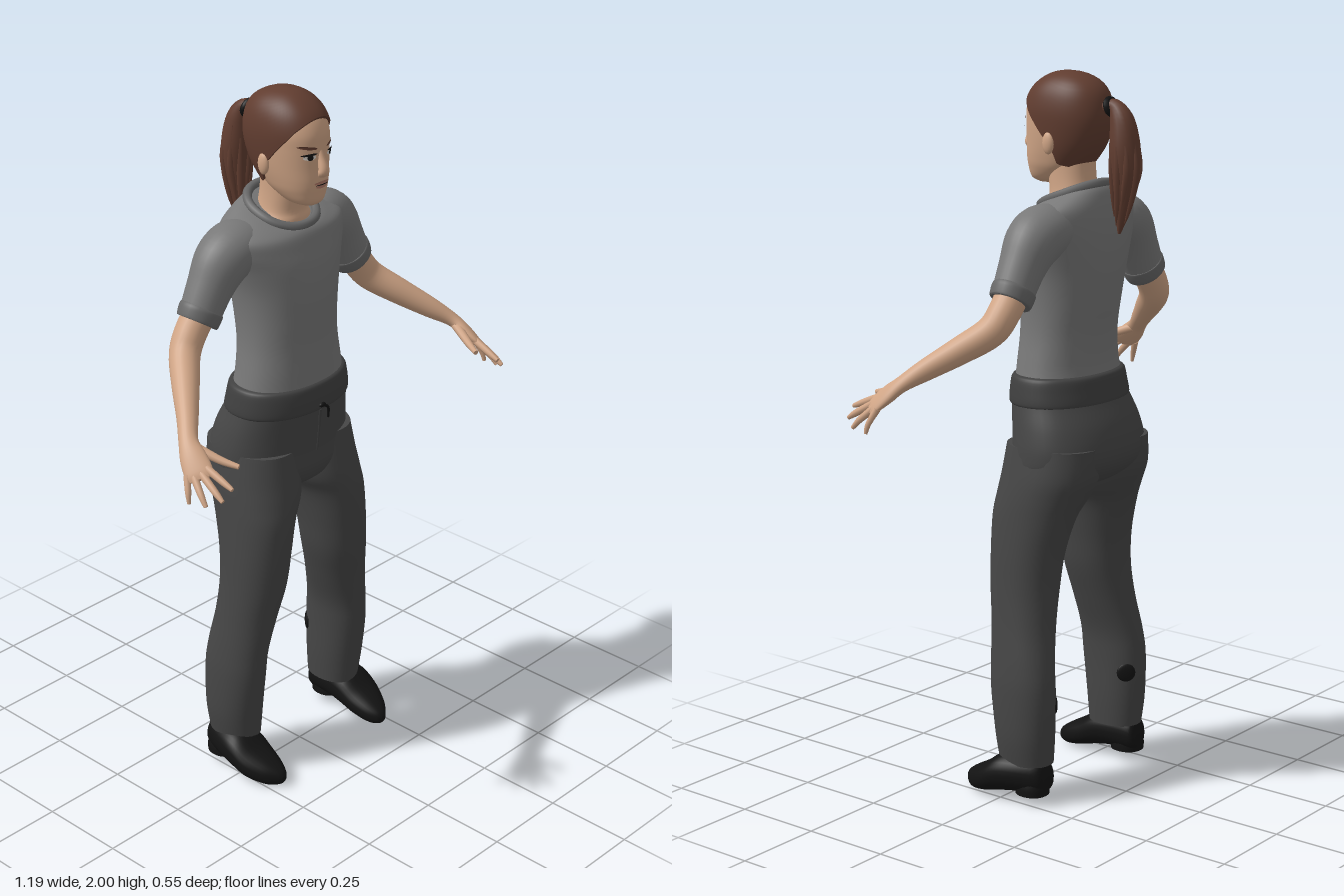
import * as THREE from 'three';

const paint = (name, color) => {
  const m = new THREE.MeshStandardMaterial({ color });
  m.name = name;
  return m;
};
const SKIN = paint('skin', 0xd0a586), HAIR = paint('hair', 0x613d30), SHIRT = paint('shirt grey', 0x787878);
const TRIM = paint('trim grey', 0x686868), PANTS = paint('trouser grey', 0x464646), BAND = paint('waistband grey', 0x404040);
const BLACK = paint('black', 0x131313), WHITE = paint('eye white', 0xd8d0c8), LIPS = paint('lips', 0xb07a68);

const V = (x, y, z) => new THREE.Vector3(x, y, z);
const lerp = THREE.MathUtils.lerp;

// Catmull-Rom smoothing of a table of rows
function smooth(rows, k = 5) {
  const out = [];
  for (let i = 0; i < rows.length - 1; i++) {
    const [p, a, b, n] = [rows[Math.max(i - 1, 0)], rows[i], rows[i + 1], rows[Math.min(i + 2, rows.length - 1)]];
    for (let s = 0; s < k; s++) {
      const t = s / k;
      out.push(a.map((_, c) => 0.5 * (2 * a[c] + (b[c] - p[c]) * t + (2 * p[c] - 5 * a[c] + 4 * b[c] - n[c]) * t * t
        + (3 * a[c] - p[c] - 3 * b[c] + n[c]) * t * t * t)));
    }
  }
  out.push(rows[rows.length - 1]);
  return out;
}

// Closed surface through rings of points, with flat caps; faces turned outward
function skinRings(rings) {
  const n = rings[0].length, pos = [], idx = [];
  rings.forEach(r => r.forEach(p => pos.push(p.x, p.y, p.z)));
  for (let i = 0; i < rings.length - 1; i++) for (let j = 0; j < n; j++) {
    const a = i * n + j, b = i * n + (j + 1) % n;
    idx.push(a, b, a + n, b, b + n, a + n);
  }
  [rings[0], rings[rings.length - 1]].forEach((r, end) => {
    const base = pos.length / 3, c = V(0, 0, 0);
    r.forEach(p => { pos.push(p.x, p.y, p.z); c.addScaledVector(p, 1 / n); });
    pos.push(c.x, c.y, c.z);
    for (let j = 0; j < n; j++) {
      const a = base + j, b = base + (j + 1) % n;
      end ? idx.push(a, b, base + n) : idx.push(b, a, base + n);
    }
  });
  const at = i => V(pos[3 * i], pos[3 * i + 1], pos[3 * i + 2]);
  let volume = 0;
  for (let i = 0; i < idx.length; i += 3) volume += at(idx[i]).dot(at(idx[i + 1]).cross(at(idx[i + 2])));
  if (volume < 0) idx.reverse();
  const g = new THREE.BufferGeometry();
  g.setAttribute('position', new THREE.Float32BufferAttribute(pos, 3));
  g.setIndex(idx);
  g.computeVertexNormals();
  return g;
}

const POWER = 2.2;
const sup = c => Math.sign(c) * Math.abs(c) ** (2 / POWER);
const angles = n => Array.from({ length: n }, (_, j) => j / n * Math.PI * 2);
// Rounded section point from a row [t, x0, x1, b0, b1, tilt]
const section = (r, f) => [(r[1] + r[2]) / 2 + (r[2] - r[1]) / 2 * sup(Math.cos(f)),
  r[0] - (r[5] || 0) * Math.sin(f), (r[3] + r[4]) / 2 + (r[3] - r[4]) / 2 * sup(Math.sin(f))];
const upright = (rows, s = 1, n = 36) => skinRings(smooth(rows).map(r => angles(n).map(f => {
  const [a, t, b] = section(r, f);
  return V(s * a, t, b);
})));
const lengthwise = (rows, s) => skinRings(smooth(rows).map(r => angles(28).map(f => {
  const [a, t, b] = section(r, f);
  return V(s * a, b, t);
})));
const sym = rows => rows.map(([y, w, zf, zb, tilt = 0]) => [y, -w, w, zf, zb, tilt]);

// Swept limb through rows [x, y, z, r, r2]; r2 lies along ref
function limb(rows, s = 1, ref = V(0, 0, 1), n = 18, k = 5) {
  const rs = smooth(rows.map(r => r.length < 5 ? [...r, r[3]] : r), k);
  const p = rs.map(r => V(r[0], r[1], r[2]));
  return skinRings(rs.map((r, i) => {
    const t = p[Math.min(i + 1, p.length - 1)].clone().sub(p[Math.max(i - 1, 0)]).normalize();
    const u = t.clone().cross(ref).normalize(), v = t.clone().cross(u);
    return angles(n).map(f => {
      const q = p[i].clone().addScaledVector(u, r[3] * Math.cos(f)).addScaledVector(v, r[4] * Math.sin(f));
      q.x *= s;
      return q;
    });
  }));
}

// Head table: height, half width, front z, back z
const HEAD = smooth(sym([[1.697, .02, .05, -.01], [1.71, .046, .068, -.04], [1.74, .066, .075, -.09], [1.77, .076, .078, -.12],
  [1.81, .084, .077, -.148], [1.86, .089, .077, -.165], [1.9, .089, .075, -.166], [1.94, .08, .058, -.155],
  [1.968, .062, .03, -.13], [1.986, .034, -.005, -.09], [1.992, .002, -.04, -.045]]), 8);
function headRow(y) {
  let i = 0;
  while (i < HEAD.length - 2 && HEAD[i + 1][0] < y) i++;
  const t = THREE.MathUtils.clamp((y - HEAD[i][0]) / (HEAD[i + 1][0] - HEAD[i][0]), 0, 1);
  return HEAD[i].map((a, c) => lerp(a, HEAD[i + 1][c], t));
}
function faceZ(x, y) {
  const [, , w, zf, zb] = headRow(y);
  return (zf + zb) / 2 + (zf - zb) / 2 * Math.max(0, 1 - Math.abs(x / w) ** POWER) ** (1 / POWER);
}
// Thin oval that hugs the face
function faceOval(x, y, w, h, lift, tilt = 0) {
  const g = new THREE.CircleGeometry(1, 20).scale(w, h, 1).rotateZ(tilt).translate(x, y, 0);
  const p = g.attributes.position;
  for (let i = 0; i < p.count; i++) p.setZ(i, faceZ(p.getX(i), p.getY(i)) + lift);
  g.computeVertexNormals();
  return g;
}
const HAIRLINE = [[-1, 1.75], [-.4, 1.762], [0, 1.82], [.35, 1.865], [.7, 1.91], [1, 1.938]];
function hairline(s) {
  let i = 0;
  while (i < HAIRLINE.length - 2 && HAIRLINE[i + 1][0] < s) i++;
  const [a, b] = [HAIRLINE[i], HAIRLINE[i + 1]];
  return lerp(a[1], b[1], (s - a[0]) / (b[0] - a[0]));
}

export function createModel() {
  const model = new THREE.Group();
  const add = (name, geo, mat) => {
    const m = new THREE.Mesh(geo, mat);
    m.name = name;
    model.add(m);
    return m;
  };
  const ball = (name, mat, x, y, z, a, b, c) => add(name, new THREE.SphereGeometry(1, 18, 12).scale(a, b, c).translate(x, y, z), mat);

  // Head, neck and hair cap
  add('head', skinRings(HEAD.map(r => angles(48).map(f => V(...section(r, f))))), SKIN);
  add('neck', upright(sym([[1.58, .1, 0, -.14], [1.64, .082, .006, -.14], [1.67, .066, .0, -.13], [1.72, .06, .006, -.122], [1.79, .06, .01, -.12]])), SKIN);
  const mid = V(0, 1.87, -.045);
  add('hair', skinRings(Array.from({ length: 19 }, (_, i) => angles(64).map(f => {
    const y = lerp(hairline(Math.sin(f)), 1.992, Math.sin(i / 18 * Math.PI / 2));
    return V(...section(headRow(y), f)).sub(mid).multiplyScalar(1.062).add(mid);
  }))), HAIR);

  // Face
  add('nose', limb([[0, 1.86, .066, .009], [0, 1.835, .075, .011], [0, 1.81, .085, .015, .013], [0, 1.797, .085, .017, .013],
    [0, 1.788, .076, .012, .008]]), SKIN);
  add('upperLip', faceOval(0, 1.768, .026, .005, .004), LIPS);
  add('lowerLip', faceOval(0, 1.759, .021, .006, .004), LIPS);
  add('mouthLine', faceOval(0, 1.764, .024, .0014, .006), BLACK);

  // Ponytail with loose strands and a tie
  add('ponytail', limb([[0, 1.9, -.15, .02], [0, 1.912, -.195, .02], [0, 1.875, -.222, .033], [0, 1.8, -.232, .041, .043],
    [0, 1.72, -.234, .037], [0, 1.64, -.226, .022], [0, 1.575, -.214, .004]], 1, V(1, 0, 0)), HAIR);
  for (let i = 0; i < 9; i++) {
    const a = i / 9 * Math.PI * 2, c = Math.cos(a), s = Math.sin(a), end = 1.6 + .05 * (i * 4 % 9) / 9;
    add('strand', limb([[c * .03, 1.86, -.226 + s * .028, .006], [c * .038, 1.76, -.234 + s * .037, .009],
      [c * .03, end + .06, -.228 + s * .027, .008], [c * .022, end, -.22 + s * .016, .001]], 1, V(1, 0, 0), 6), HAIR);
  }
  add('hairTie', new THREE.TorusGeometry(.02, .009, 8, 20).rotateX(.3).translate(0, 1.91, -.186), BLACK);

  // Shirt body and collar
  const neckline = [1.67, -.092, .092, .02, -.152, .036];
  add('shirt', upright([...sym([[1.165, .176, .072, -.163], [1.22, .165, .069, -.156], [1.3, .152, .066, -.16], [1.38, .15, .07, -.175],
    [1.46, .158, .072, -.188], [1.53, .177, .066, -.193], [1.585, .198, .053, -.19, .008], [1.628, .198, .042, -.181, .018],
    [1.656, .14, .032, -.168, .03]]), neckline], 1, 48), SHIRT);
  const ring = new THREE.CatmullRomCurve3(angles(24).map(f => V(...section(neckline, f))), true);
  add('collar', new THREE.TubeGeometry(ring, 60, .013, 8, true), TRIM);

  // Trouser seat, waistband, fly and drawstring
  add('trouserSeat', upright(sym([[.865, .09, .02, -.1], [.89, .15, .05, -.165], [.93, .21, .066, -.215], [.98, .217, .066, -.23],
    [1.05, .207, .07, -.214], [1.12, .19, .078, -.18], [1.16, .184, .078, -.17]]), 1, 48), PANTS);
  add('waistband', upright(sym([[1.108, .188, .076, -.178], [1.116, .195, .084, -.184], [1.15, .191, .084, -.178],
    [1.182, .184, .079, -.171], [1.19, .172, .068, -.16]]), 1, 48), BAND);
  add('fly', limb([[0, 1.11, .077, .005], [.003, 1.05, .069, .004], [0, .98, .064, .004]], 1, V(0, 0, 1), 8), BAND);
  ball('knot', BLACK, 0, 1.125, .085, .012, .007, .007);
  add('drawstring', limb([[0, 1.125, .088, .004], [.022, 1.11, .086, .004], [.03, 1.075, .079, .003]], 1, V(0, 0, 1), 8), BLACK);

  // Paired parts
  for (const s of [1, -1]) {
    const side = s > 0 ? 'left' : 'right';
    ball(side + 'Ear', SKIN, s * .09, 1.812, -.045, .011, .03, .018).rotation.x = 0;
    add(side + 'Eye', faceOval(s * .037, 1.843, .016, .0075, .003), WHITE);
    add(side + 'Iris', faceOval(s * .037, 1.843, .0075, .0075, .005), BLACK);
    add(side + 'Lashes', faceOval(s * .039, 1.851, .02, .0032, .006, -s * .1), BLACK);
    add(side + 'Brow', faceOval(s * .041, 1.869, .024, .0042, .004, s * .16), HAIR);

    // Sleeve, cuff, arm and hand
    add(side + 'Sleeve', limb([[.1, 1.595, -.085, .058, .075], [.16, 1.588, -.085, .074, .08], [.21, 1.56, -.085, .077, .074],
      [.255, 1.5, -.085, .065, .061], [.3, 1.423, -.085, .057, .054]], s, V(0, 0, 1), 28), SHIRT);
    add(side + 'Cuff', limb([[.284, 1.452, -.085, .058, .055], [.287, 1.447, -.085, .063, .059], [.3, 1.423, -.085, .061, .057],
      [.303, 1.418, -.085, .056, .053]], s, V(0, 0, 1), 28), TRIM);
    const across = V(.055, -.025, -.055).normalize();
    add(side + 'Arm', limb([[.28, 1.455, -.085, .045], [.328, 1.395, -.085, .044], [.365, 1.348, -.07, .042], [.42, 1.3, -.012, .037],
      [.48, 1.25, .055, .029], [.522, 1.214, .1, .02, .026], [.539, 1.186, .133, .018, .035], [.552, 1.157, .167, .013, .038],
      [.558, 1.144, .181, .007, .03]], s, across, 24), SKIN);
    const fingers = {
      Thumb: [[.52, 1.203, .118, .014], [.494, 1.178, .185, .011], [.473, 1.167, .233, .007]],
      IndexFinger: [[.535, 1.168, .178, .011], [.532, 1.147, .232, .0095], [.53, 1.134, .266, .006]],
      MiddleFinger: [[.55, 1.158, .172, .011], [.557, 1.126, .23, .0095], [.559, 1.108, .259, .006]],
      RingFinger: [[.563, 1.15, .16, .011], [.578, 1.115, .2, .009], [.583, 1.09, .223, .006]],
      LittleFinger: [[.572, 1.149, .145, .01], [.587, 1.11, .163, .008], [.591, 1.083, .17, .005]],
    };
    for (const [name, rows] of Object.entries(fingers)) add(side + name, limb(rows, s, across, 10), SKIN);

    // Trouser leg, calf patch and shoe
    add(side + 'TrouserLeg', upright([[1.0, .005, .21, .058, -.215], [.92, 0, .223, .07, -.21], [.86, .012, .23, .08, -.185],
      [.8, .045, .235, .085, -.158], [.7, .065, .243, .082, -.13], [.6, .08, .25, .075, -.12], [.5, .108, .26, .06, -.125],
      [.4, .136, .273, .05, -.14], [.32, .142, .28, .045, -.148], [.2, .142, .28, .03, -.145], [.115, .145, .268, .02, -.138]], s), PANTS);
    const patch = ball(side + 'CalfPatch', BLACK, 0, 0, 0, .027, .027, .007);
    patch.position.set(s * .166, .28, -.126);
    patch.rotation.y = Math.atan2(-s * .72, -.69);
    add(side + 'Shoe', lengthwise([[-.14, .19, .235, .085, .05], [-.122, .174, .258, .13, .034], [-.05, .167, .284, .138, .03],
      [0, .163, .293, .132, .022], [.05, .165, .289, .098, .01], [.1, .176, .264, .07, .002], [.13, .192, .236, .05, .008],
      [.14, .205, .222, .036, .018]], s), BLACK);
    add(side + 'ShoeHeel', upright([[.03, .178, .266, -.045, -.138], [.05, .178, .266, -.04, -.14], [.07, .18, .262, -.04, -.138]], s, 24), BLACK);
  }
  return model;
}
